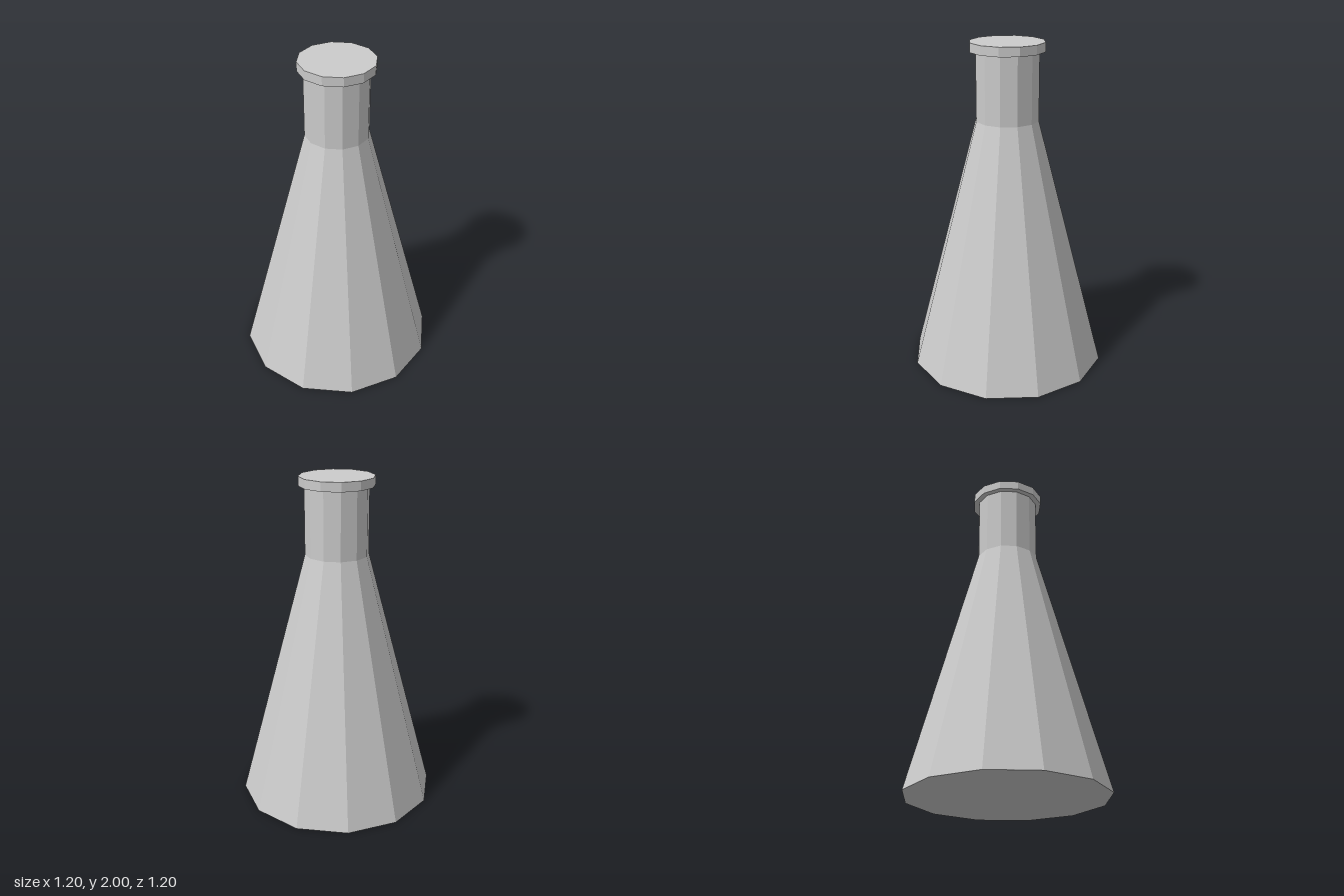
import * as THREE from 'three';

const SIDES = 12;

export function createModel() {
  const group = new THREE.Group();
  const material = new THREE.MeshStandardMaterial({ color: 0xcccccc, flatShading: true });

  // Adds a twelve-sided section between two heights
  const addSection = (name, topRadius, bottomRadius, y0, y1, open = false) => {
    const geometry = new THREE.CylinderGeometry(topRadius, bottomRadius, y1 - y0, SIDES, 1, open);
    const mesh = new THREE.Mesh(geometry, material);
    mesh.name = name;
    mesh.position.y = (y0 + y1) / 2;
    group.add(mesh);
  };

  // Conical body with a flat base
  addSection('body', 0.19, 0.6, 0, 1.54);
  // Straight neck, its ends hidden by the body and the rim
  addSection('neck', 0.19, 0.19, 1.54, 1.945, true);
  // Wider closed rim
  addSection('rim', 0.224, 0.224, 1.945, 2);

  return group;
}
